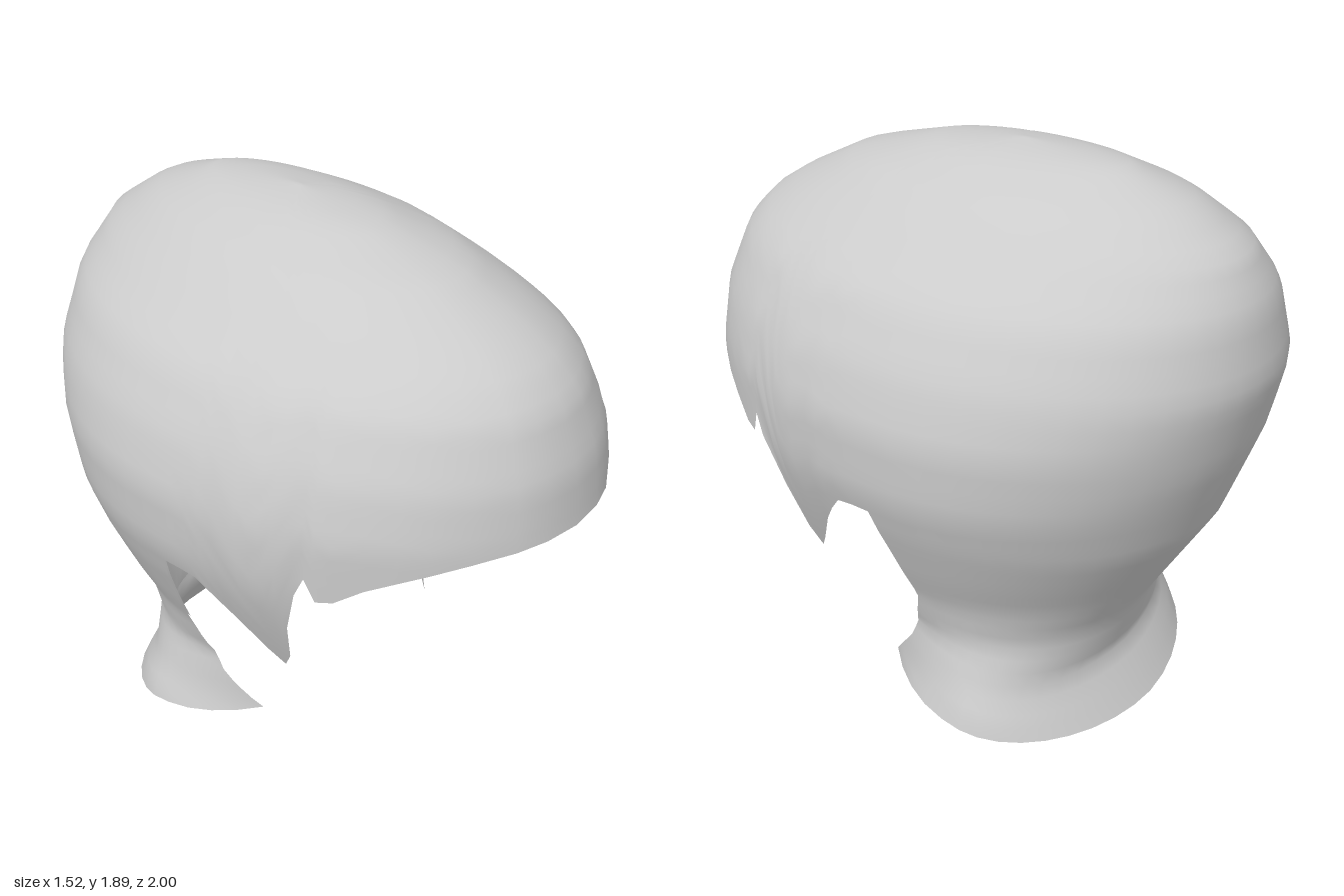
import * as THREE from 'three';
import { mergeGeometries, mergeVertices } from 'three/addons/utils/BufferGeometryUtils.js';

// Profiles as [height, value] pairs
const HALF_WIDTH = [[0, 0.63], [0.1, 0.61], [0.2, 0.57], [0.35, 0.53], [0.5, 0.57], [0.63, 0.63], [0.8, 0.7], [0.95, 0.75],
  [1.17, 0.76], [1.35, 0.71], [1.53, 0.61], [1.7, 0.42], [1.78, 0.32], [1.85, 0.18], [1.875, 0.1], [1.89, 0]];
const BACK = [[0, -0.66], [0.18, -0.55], [0.37, -0.6], [0.75, -0.83], [1.05, -0.94], [1.3, -1], [1.53, -0.96],
  [1.67, -0.88], [1.78, -0.72], [1.87, -0.47], [1.89, -0.12]];
const FRONT = [[0.14, 0.27], [0.38, 0.3], [0.52, 1], [1.14, 1], [1.32, 0.98], [1.51, 0.91], [1.6, 0.83],
  [1.67, 0.72], [1.78, 0.5], [1.86, 0.2], [1.89, -0.12]];
const MIDDLE = [[0.14, -0.25], [0.52, -0.1], [1.78, -0.1], [1.89, -0.12]];
const NECK_EDGE = [[0.14, 0.1], [0.29, -0.02], [0.38, -0.06], [0.52, -0.1], [0.74, -0.06], [0.88, -0.03]];
// Hem from the ear arch over the side lock to the fringe, as [z, height]
const HEM = [[0.04, 0.88], [0.1, 0.87], [0.15, 0.81], [0.2, 0.74], [0.28, 0.6], [0.32, 0.54], [0.36, 0.61], [0.4, 0.78],
  [0.46, 0.96], [0.49, 1.03], [0.52, 0.95], [0.57, 0.96], [0.65, 1.02], [0.73, 1.06], [0.8, 1.09], [0.88, 1.12],
  [0.95, 1.135], [0.985, 1.14], [1, 1.14]];
const TOP = 1.89, ARCH = 0.88;

function sample(table, y) {
  if (y <= table[0][0]) return table[0][1];
  for (let i = 1; i < table.length; i++) {
    const [y0, v0] = table[i - 1], [y1, v1] = table[i];
    if (y <= y1) return v0 + (v1 - v0) * (y - y0) / (y1 - y0);
  }
  return table[table.length - 1][1];
}

// Point on the oval section at height y; angle 0 is the back, PI the front
function shellPoint(angle, y) {
  const mid = sample(MIDDLE, y), c = Math.cos(angle);
  const reach = c > 0 ? mid - sample(BACK, y) : sample(FRONT, y) - mid;
  return new THREE.Vector3(sample(HALF_WIDTH, y) * Math.sin(angle), y, mid - reach * c);
}

// Angle at which the section at height y reaches depth z
function angleAt(z, y) {
  const mid = sample(MIDDLE, y), d = mid - z;
  const reach = d > 0 ? mid - sample(BACK, y) : sample(FRONT, y) - mid;
  return Math.acos(THREE.MathUtils.clamp(d / reach, -1, 1));
}

function grid(columns, rows, point) {
  const positions = [], index = [];
  for (let i = 0; i <= columns; i++) {
    for (let j = 0; j <= rows; j++) positions.push(...point(i, j / rows).toArray());
  }
  for (let i = 0; i < columns; i++) {
    for (let j = 0; j < rows; j++) {
      const a = i * (rows + 1) + j, c = a + rows + 1;
      index.push(a, c, a + 1, c, c + 1, a + 1);
    }
  }
  const g = new THREE.BufferGeometry();
  g.setAttribute('position', new THREE.Float32BufferAttribute(positions, 3));
  g.setIndex(index);
  return g;
}

export function createModel() {
  const group = new THREE.Group();
  group.name = 'hair';
  const material = new THREE.MeshStandardMaterial({ color: 0xcccccc, side: THREE.DoubleSide, roughness: 0.8 });
  const add = (name, parts) => {
    const geometry = mergeVertices(mergeGeometries(parts), 1e-4);
    geometry.computeVertexNormals();
    const mesh = new THREE.Mesh(geometry, material);
    mesh.name = name;
    group.add(mesh);
  };

  // Crown, side locks and fringe: columns hanging from the crown to the hem
  const half = 14;
  const archAngle = angleAt(sample(NECK_EDGE, ARCH), ARCH);
  const side = [];
  for (let i = 0; i <= half; i++) side.push([archAngle * i / half, ARCH]);
  for (const [z, y] of HEM) side.push([angleAt(z, y), y]);
  const hem = [...side.slice(1).reverse().map(([a, y]) => [-a, y]), ...side];
  const crown = grid(hem.length - 1, 28, (i, t) => {
    const [angle, bottom] = hem[i];
    return shellPoint(angle, TOP - (TOP - bottom) * (1 - Math.cos(t * Math.PI / 2)));
  });

  // Back of the neck, flaring out to a tilted lower edge
  const nape = grid(2 * half, 20, (i, t) => {
    const u = (i - half) / half;
    const y = THREE.MathUtils.lerp(ARCH, 0.14 * Math.abs(u) ** 1.5, t);
    return shellPoint(u * angleAt(sample(NECK_EDGE, y), y), y);
  });
  add('hairShell', [crown, nape]);

  // Inner layer behind the neck, meeting the shell at its top and sides
  const lining = grid(2 * half, 14, (i, t) => {
    const u = (i - half) / half;
    const y = THREE.MathUtils.lerp(1.15, 0.29 + 0.23 * u * u, t);
    const p = shellPoint(u * angleAt(sample(NECK_EDGE, y), y), y);
    const inset = 1 - 0.13 * Math.sqrt(t) * (1 - u * u) - 0.01;
    const mid = sample(MIDDLE, y);
    return new THREE.Vector3(p.x * inset, y, mid + (p.z - mid) * inset);
  });
  add('innerLining', [lining]);

  return group;
}
